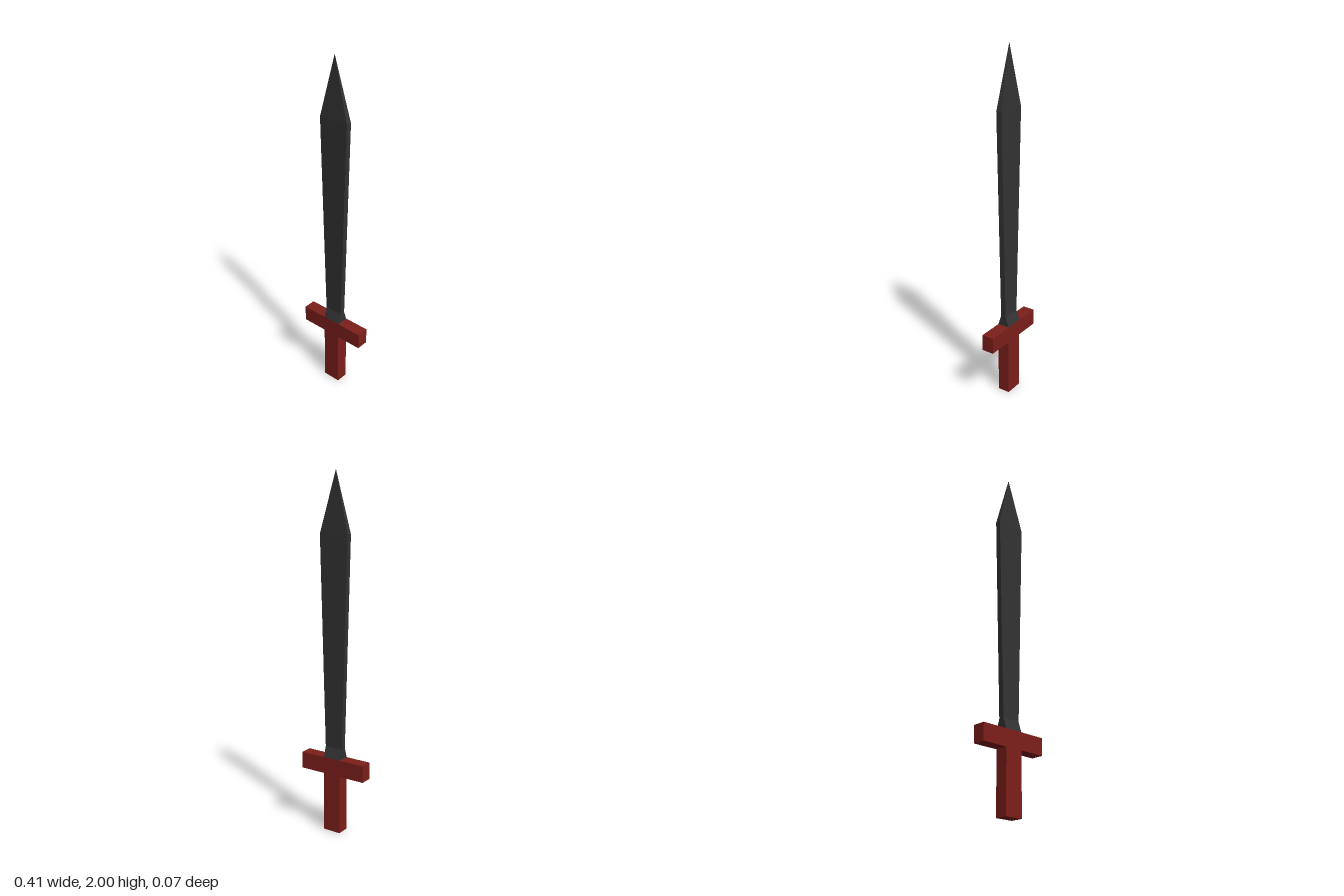
import * as THREE from 'three';

const red = new THREE.MeshStandardMaterial({ color: 0x7d1f1a, flatShading: true });
const dark = new THREE.MeshStandardMaterial({ color: 0x333333, flatShading: true });

function box(name, width, bottom, top, depth) {
  const mesh = new THREE.Mesh(new THREE.BoxGeometry(width, top - bottom, depth), red);
  mesh.name = name;
  mesh.position.y = (bottom + top) / 2;
  return mesh;
}

// Rectangular cross-sections joined into a four-sided blade ending in a point
function bladeGeometry(sections, tip) {
  const rings = sections.map(([y, w, d]) =>
    [[-w, y, d], [w, y, d], [w, y, -d], [-w, y, -d]]);
  const points = [];
  for (let side = 0; side < 4; side++) {
    const next = (side + 1) % 4;
    for (let i = 0; i < rings.length - 1; i++) {
      const [a, b] = [rings[i][side], rings[i][next]];
      const [c, d] = [rings[i + 1][next], rings[i + 1][side]];
      points.push(a, b, c, a, c, d);
    }
    const last = rings[rings.length - 1];
    points.push(last[side], last[next], tip);
  }
  const geometry = new THREE.BufferGeometry();
  geometry.setAttribute('position', new THREE.Float32BufferAttribute(points.flat(), 3));
  geometry.computeVertexNormals();
  return geometry;
}

export function createModel() {
  const sword = new THREE.Group();
  sword.name = 'sword';

  // Hilt
  sword.add(box('grip', 0.106, 0, 0.34, 0.071));
  sword.add(box('guard', 0.41, 0.34, 0.435, 0.071));

  // Blade: thick root, long widening body, pointed tip
  const sections = [
    [0.435, 0.053, 0.0355],
    [0.495, 0.054, 0.0155],
    [1.67, 0.088, 0.0155],
  ];
  const blade = new THREE.Mesh(bladeGeometry(sections, [-0.004, 2, 0]), dark);
  blade.name = 'blade';
  sword.add(blade);

  return sword;
}
